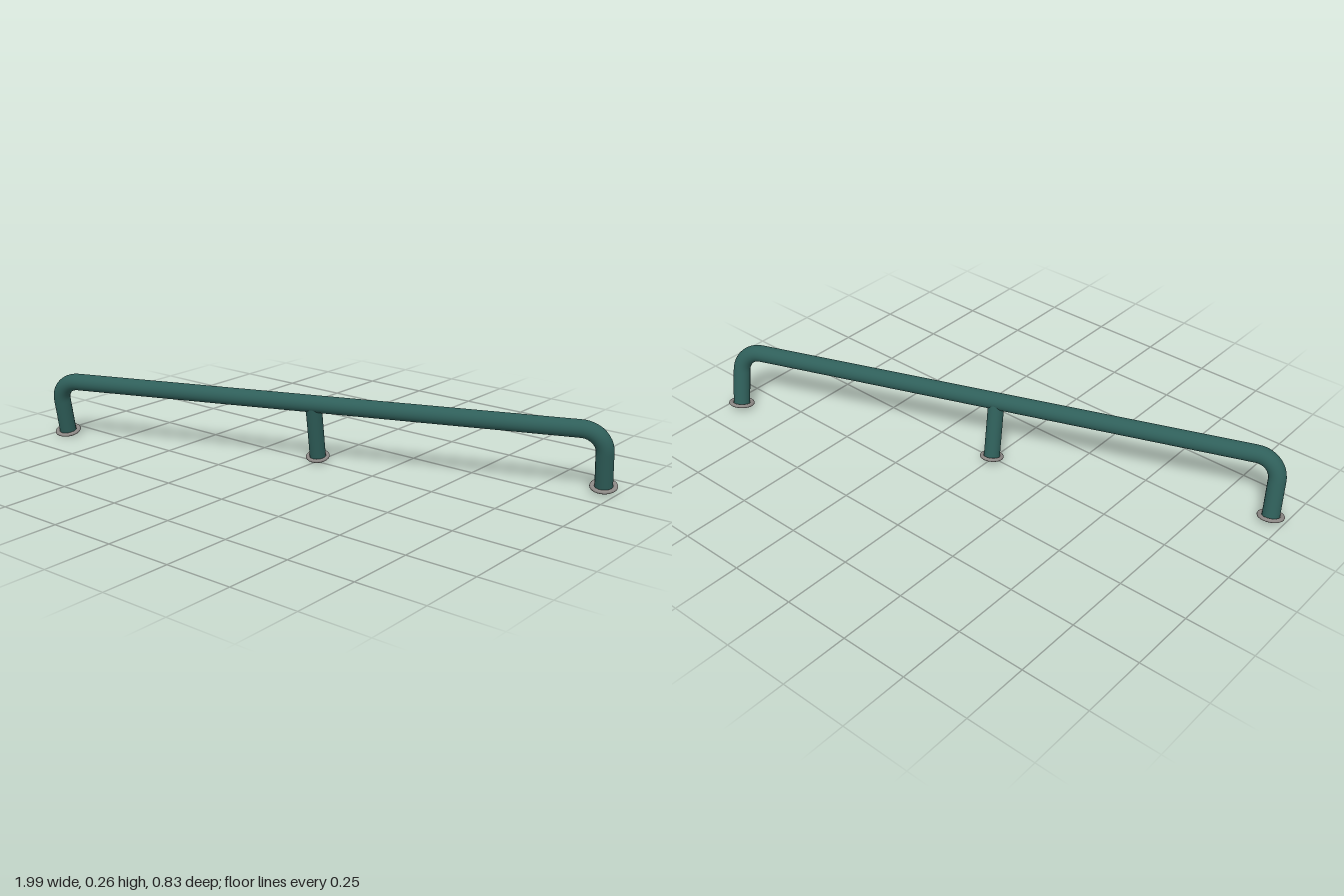
import * as THREE from 'three';

const HALF_SPAN = 1.014; // half distance between the end posts
const HEIGHT = 0.215;    // foot to bar centreline, along the leaning posts
const BEND = 0.08;       // bend radius of the corners
const PIPE = 0.031;

export function createModel() {
  const green = new THREE.MeshStandardMaterial({ color: 0x2f5f5a, side: THREE.DoubleSide });
  green.name = 'dark green paint';
  const grey = new THREE.MeshStandardMaterial({ color: 0x8c8885 });
  grey.name = 'grey metal';

  const rail = new THREE.Group();
  rail.name = 'guardRail';
  const add = (name, geometry, material) => {
    const mesh = new THREE.Mesh(geometry, material);
    mesh.name = name;
    rail.add(mesh);
    return mesh;
  };

  // One bent pipe: post, corner, bar, corner, post
  const v = (x, y) => new THREE.Vector3(x, y, 0);
  const k = BEND * 0.4477; // control distance from the sharp corner for a round bend
  const path = new THREE.CurvePath();
  path.add(new THREE.LineCurve3(v(-HALF_SPAN, 0), v(-HALF_SPAN, HEIGHT - BEND)));
  path.add(new THREE.CubicBezierCurve3(v(-HALF_SPAN, HEIGHT - BEND), v(-HALF_SPAN, HEIGHT - k),
    v(-HALF_SPAN + k, HEIGHT), v(-HALF_SPAN + BEND, HEIGHT)));
  path.add(new THREE.LineCurve3(v(-HALF_SPAN + BEND, HEIGHT), v(HALF_SPAN - BEND, HEIGHT)));
  path.add(new THREE.CubicBezierCurve3(v(HALF_SPAN - BEND, HEIGHT), v(HALF_SPAN - k, HEIGHT),
    v(HALF_SPAN, HEIGHT - k), v(HALF_SPAN, HEIGHT - BEND)));
  path.add(new THREE.LineCurve3(v(HALF_SPAN, HEIGHT - BEND), v(HALF_SPAN, 0)));
  path.arcLengthDivisions = 1000;
  add('bentPipe', new THREE.TubeGeometry(path, 200, PIPE, 28, false), green);

  // Slimmer centre post, ending inside the bar
  const post = add('centrePost', new THREE.CylinderGeometry(0.029, 0.029, HEIGHT, 28, 1, true), green);
  post.position.set(-0.003, HEIGHT / 2, 0);

  // Rounded foot collars
  const collars = [['rightCollar', -HALF_SPAN, 0.048, PIPE], ['centreCollar', -0.003, 0.043, 0.029],
    ['leftCollar', HALF_SPAN, 0.048, PIPE]];
  for (const [name, x, outer, inner] of collars) {
    const tube = (outer - inner) / 2;
    const collar = add(name, new THREE.TorusGeometry(inner + tube, tube, 12, 36), grey);
    collar.rotation.x = Math.PI / 2;
    collar.scale.z = 0.0065 / tube;
    collar.position.x = x;
  }

  // Set the whole rail diagonally and leaning forward
  const along = new THREE.Vector3(1.897, 0.004, -0.717).normalize();
  const up = new THREE.Vector3(0.08, 1, 0.215);
  up.addScaledVector(along, -up.dot(along)).normalize();
  const out = new THREE.Vector3().crossVectors(along, up);
  rail.quaternion.setFromRotationMatrix(new THREE.Matrix4().makeBasis(along, up, out));
  rail.position.set(-0.001, 0.019, -0.012);

  const model = new THREE.Group();
  model.name = 'railModel';
  model.add(rail);
  return model;
}
